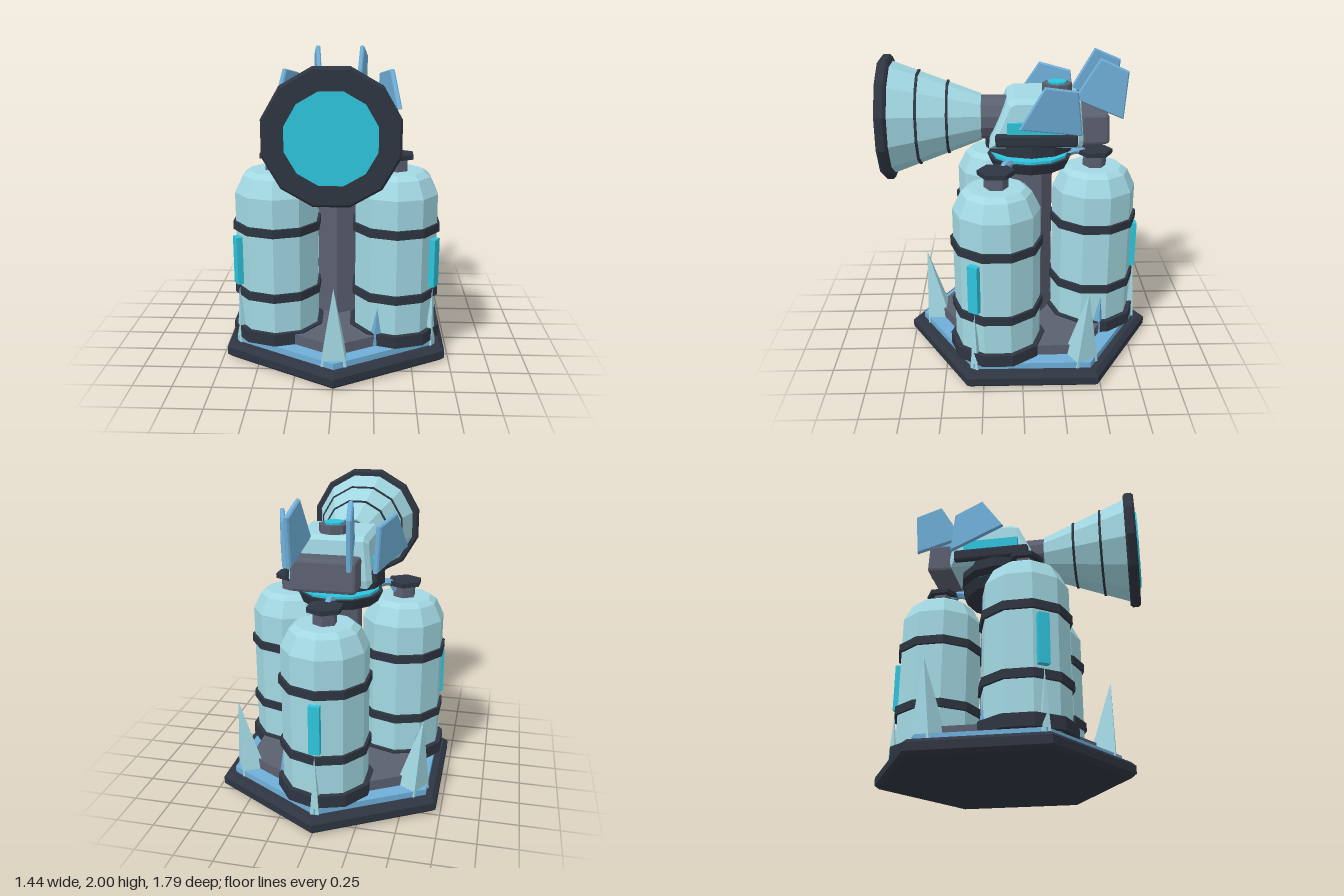
import * as THREE from 'three';
import { RoundedBoxGeometry } from 'three/addons/geometries/RoundedBoxGeometry.js';

const CZ = -0.063; // z of the turret's vertical axis
const BY = 1.59; // height of the barrel's axis

export function createModel() {
  const model = new THREE.Group();
  model.name = 'turret';
  const mat = (name, color, extra = {}) => {
    const m = new THREE.MeshStandardMaterial({ color, flatShading: true, ...extra });
    m.name = name;
    return m;
  };
  const pale = mat('pale teal', 0xa2d8e3);
  const blue = mat('sky blue', 0x6eaed8);
  const cyan = mat('glowing cyan', 0x2ec4dc);
  const dark = mat('dark slate', 0x2e3541);
  const grey = mat('slate grey', 0x5b6070);

  const add = (name, geo, material, x = 0, y = 0, z = 0, parent = model) => {
    const mesh = new THREE.Mesh(geo, material);
    mesh.name = name;
    mesh.position.set(x, y, z);
    parent.add(mesh);
    return mesh;
  };
  // Upright prism between two heights
  const prism = (name, r, y0, y1, sides, material, x, z, parent, r2 = r) =>
    add(name, new THREE.CylinderGeometry(r2, r, y1 - y0, sides), material, x, (y0 + y1) / 2, z, parent);
  const lathe = (pts, sides) => new THREE.LatheGeometry(pts.map(p => new THREE.Vector2(...p)), sides);
  // Group turned around the turret axis; its +z points outwards
  const spoke = (name, angle) => {
    const g = new THREE.Group();
    g.name = name;
    g.position.z = CZ;
    g.rotation.y = angle;
    model.add(g);
    return g;
  };
  // Side profile in (z, y), extruded to a thickness along x, centred on x = 0
  const sideExtrude = (pts, width, bevel) => {
    const shape = new THREE.Shape(pts.map(([z, y]) => new THREE.Vector2(-z, y)));
    const geo = new THREE.ExtrudeGeometry(shape, {
      depth: width - 2 * bevel, bevelEnabled: true, bevelThickness: bevel,
      bevelSize: bevel, bevelOffset: -bevel, bevelSegments: 1,
    });
    geo.translate(0, 0, bevel - width / 2);
    geo.rotateY(Math.PI / 2);
    return geo;
  };

  // Hexagonal base, floor and deck
  add('base', lathe([[0, 0], [0.80, 0], [0.832, 0.025], [0.832, 0.075], [0.80, 0.1], [0, 0.1]], 6), dark, 0, 0, CZ);
  prism('floor', 0.75, 0.09, 0.14, 6, blue, 0, CZ);
  prism('deck', 0.64, 0.14, 0.21, 6, grey, 0, CZ);

  // Column with its fixed ring
  prism('column', 0.148, 0.2, 1.3, 6, grey, 0, CZ);
  prism('columnRing', 0.25, 1.275, 1.345, 12, dark, 0, CZ, model, 0.28);
  prism('glowRing', 0.255, 1.34, 1.362, 12, cyan, 0, CZ);

  // Three tanks
  const tankProfile = [[0, 0.14], [0.276, 0.14], [0.276, 1.115], [0.222, 1.225], [0.18, 1.255], [0, 1.255]];
  const tanks = [[0.389, 0.157, Math.PI / 3], [-0.389, 0.157, -Math.PI / 3], [0, -0.492, Math.PI]];
  for (const [x, z, angle] of tanks) {
    const tank = new THREE.Group();
    tank.name = 'tank';
    tank.position.set(x, 0, z);
    model.add(tank);
    add('tankBody', lathe(tankProfile, 10), pale, 0, 0, 0, tank);
    prism('tankFoot', 0.31, 0.14, 0.22, 10, dark, 0, 0, tank);
    for (const y of [0.433, 0.87]) prism('tankBand', 0.294, y, y + 0.056, 10, dark, 0, 0, tank);
    prism('valveNeck', 0.077, 1.24, 1.34, 6, grey, 0, 0, tank);
    prism('valveCap', 0.117, 1.335, 1.365, 6, dark, 0, 0, tank);
    const lamp = add('tankLamp', new THREE.BoxGeometry(0.07, 0.32, 0.04), cyan,
      Math.sin(angle) * 0.284, 0.675, Math.cos(angle) * 0.284, tank);
    lamp.rotation.y = angle;

    // Hose from the valve to the column ring
    const hose = new THREE.CatmullRomCurve3([[1.3, 0.39], [1.35, 0.35], [1.355, 0.29], [1.32, 0.22]]
      .map(([y, r]) => new THREE.Vector3(0, y, r)));
    add('hose', new THREE.TubeGeometry(hose, 8, 0.026, 6), blue, 0, 0, 0, spoke('hoseMount', angle));
  }

  // Crystals: four-sided spikes leaning outwards
  const spike = (half, height, lean) => {
    const geo = new THREE.ConeGeometry(half * Math.SQRT2, height, 4);
    geo.rotateY(Math.PI / 4);
    geo.translate(0, height / 2, 0);
    const p = geo.attributes.position;
    for (let i = 0; i < p.count; i++) p.setZ(i, p.getZ(i) + lean * p.getY(i) / height);
    return geo;
  };
  for (let i = 0; i < 3; i++) {
    const a = i * Math.PI * 2 / 3;
    add('largeCrystal', spike(0.082, 0.525, 0.075), pale, 0, 0.1, 0.633, spoke('crystalMount', a));
    add('thinCrystal', spike(0.028, 0.4, 0.01), pale, 0, 0.1, 0.72, spoke('crystalMount', a + Math.PI / 3));
    add('smallCrystal', spike(0.04, 0.295, 0.02), blue, 0, 0.1, 0.525, spoke('crystalMount', a + Math.PI / 6));
  }

  // Turning head
  prism('turntable', 0.29, 1.4, 1.47, 12, dark, 0, CZ);
  const headGeo = sideExtrude([[0.2, 1.45], [0.195, 1.49], [0.085, 1.735], [0.04, 1.757],
    [-0.33, 1.757], [-0.37, 1.735], [-0.39, 1.5], [-0.38, 1.45]], 0.53, 0.03);
  const hp = headGeo.attributes.position;
  for (let i = 0; i < hp.count; i++) hp.setX(i, hp.getX(i) * (1 - 0.45 * Math.max(0, hp.getY(i) - 1.46)));
  headGeo.computeVertexNormals();
  add('head', headGeo, pale);
  const block = add('rearBlock', new RoundedBoxGeometry(0.4, 0.2, 0.18, 1, 0.02), grey, 0, 1.555, -0.465);
  block.rotation.x = 0.05;
  prism('knob', 0.096, 1.74, 1.81, 8, grey, 0, -0.235);
  prism('knobLight', 0.062, 1.8, 1.822, 8, cyan, 0, -0.235);

  // Side rails, lamps and fins
  const fin = (name, pts, side, offset, slope) => {
    const geo = sideExtrude(pts, 0.032, 0.008);
    const p = geo.attributes.position;
    for (let i = 0; i < p.count; i++) p.setX(i, p.getX(i) + side * (offset + slope * p.getZ(i)));
    geo.computeVertexNormals();
    add(name, geo, blue);
  };
  for (const s of [1, -1]) {
    add('sideRail', new RoundedBoxGeometry(0.06, 0.08, 0.51, 1, 0.015), dark, s * 0.262, 1.51, -0.095);
    add('sideLamp', new THREE.BoxGeometry(0.04, 0.08, 0.375), cyan, s * 0.255, 1.58, -0.1);
    fin('sideFin', [[0.016, 1.625], [-0.138, 1.868], [-0.344, 1.825], [-0.376, 1.545]], s, 0.405, 0.33);
    fin('rearFin', [[-0.333, 1.74], [-0.487, 1.998], [-0.661, 1.92], [-0.64, 1.62]], s, 0.085, -0.145);
  }

  // Horn barrel along z: twelve sides, flat on top
  const horn = (name, z0, z1, r0, r1, material) => {
    const geo = new THREE.CylinderGeometry(r1, r0, z1 - z0, 12);
    geo.rotateY(Math.PI / 12);
    geo.rotateX(Math.PI / 2);
    add(name, geo, material, 0, BY, (z0 + z1) / 2);
  };
  const hornRadius = z => 0.15 + (z - 0.25) * 0.37;
  horn('barrelNeck', 0.05, 0.26, 0.141, 0.141, grey);
  horn('barrelCone', 0.25, 0.82, hornRadius(0.25), hornRadius(0.82), pale);
  for (const z of [0.46, 0.645])
    horn('barrelBand', z - 0.008, z + 0.008, hornRadius(z) + 0.008, hornRadius(z) + 0.008, dark);
  horn('muzzleBack', 0.81, 0.825, 0.385, 0.4, dark);
  horn('muzzleRing', 0.825, 0.865, 0.4, 0.4, dark);
  horn('muzzleFront', 0.865, 0.88, 0.4, 0.385, dark);
  horn('muzzleLens', 0.87, 0.893, 0.267, 0.267, cyan);

  return model;
}
